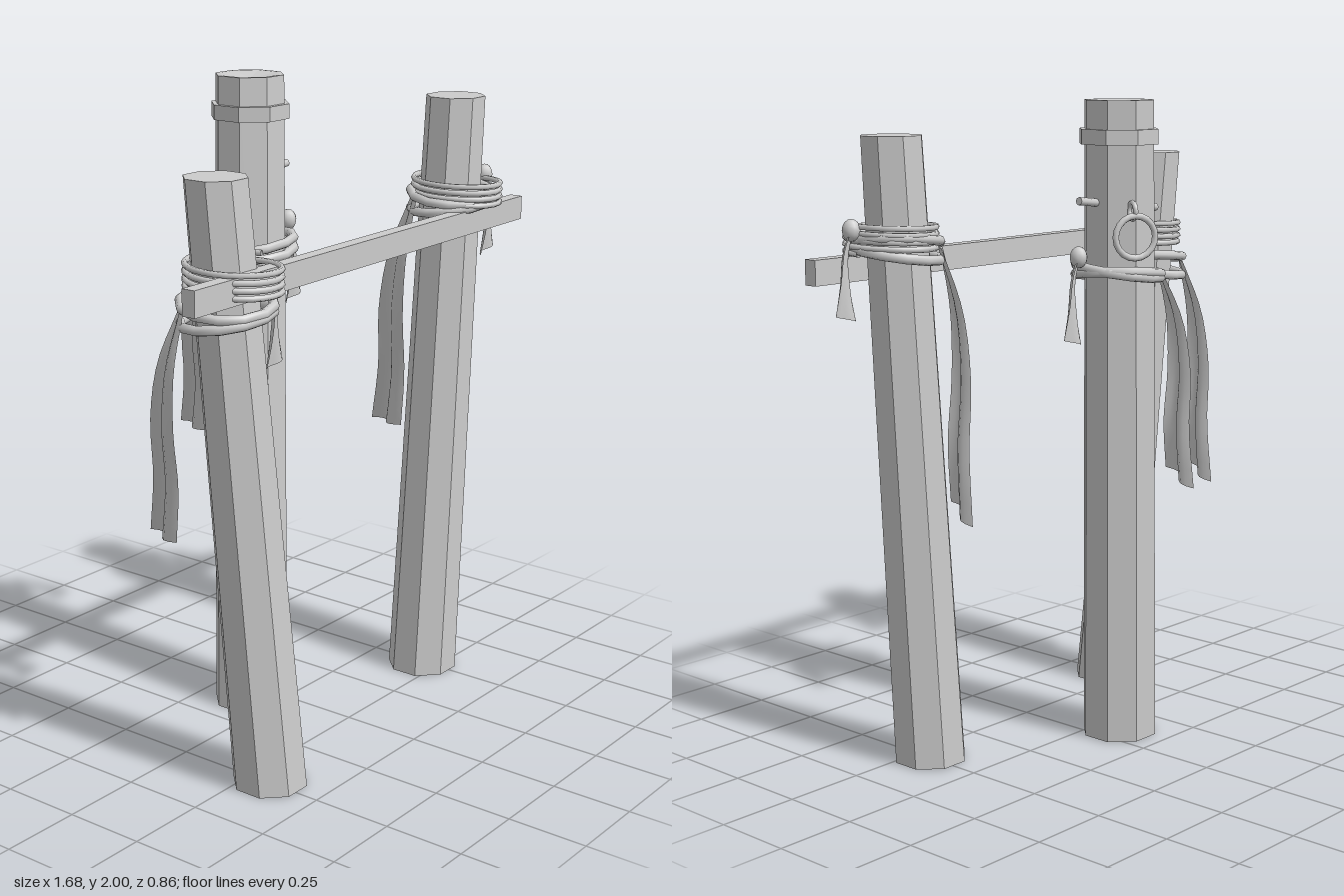
import * as THREE from 'three';

const grey = new THREE.MeshStandardMaterial({ color: 0xcccccc, side: THREE.DoubleSide });
grey.name = 'light grey';

function add(parent, name, geometry, x = 0, y = 0, z = 0) {
  const mesh = new THREE.Mesh(geometry, grey);
  mesh.name = name;
  mesh.position.set(x, y, z);
  parent.add(mesh);
  return mesh;
}

// Octagonal turned shape with hard edges
function faceted(profile) {
  const geo = new THREE.LatheGeometry(profile.map(p => new THREE.Vector2(...p)), 8, Math.PI / 8).toNonIndexed();
  geo.computeVertexNormals();
  return geo;
}

// Leaning post: octagon sheared from the foot to the top, both ends level
function postGeometry({ foot, top, height, r0, r1, dish }) {
  const geo = faceted([[0, 0], [r0, 0], [r1, height], [r1 - 0.014, height], [0, height - dish]]);
  const p = geo.attributes.position;
  for (let i = 0; i < p.count; i++) {
    const t = p.getY(i) / height;
    p.setX(i, p.getX(i) + foot[0] + (top[0] - foot[0]) * t);
    p.setZ(i, p.getZ(i) + foot[1] + (top[1] - foot[1]) * t);
  }
  geo.computeVertexNormals();
  return geo;
}

// Cloth strip between two edge curves, rippled across its width
function ribbon(edgeA, edgeB, fold) {
  const curve = pts => new THREE.CatmullRomCurve3(pts.map(p => new THREE.Vector3(...p)));
  const a = curve(edgeA), b = curve(edgeB);
  const rows = 14, cols = 8, pos = [], index = [];
  for (let i = 0; i <= rows; i++) {
    const u = i / rows, pa = a.getPoint(u), pb = b.getPoint(u);
    const side = new THREE.Vector3(pb.z - pa.z, 0, pa.x - pb.x).normalize();
    for (let j = 0; j <= cols; j++) {
      const v = j / cols;
      const p = pa.clone().lerp(pb, v).addScaledVector(side, fold * Math.sin(v * Math.PI * 2) * (0.4 + 0.6 * u));
      pos.push(p.x, p.y, p.z);
      if (i < rows && j < cols) {
        const k = i * (cols + 1) + j;
        index.push(k, k + cols + 1, k + 1, k + 1, k + cols + 1, k + cols + 2);
      }
    }
  }
  const geo = new THREE.BufferGeometry();
  geo.setAttribute('position', new THREE.Float32BufferAttribute(pos, 3));
  geo.setIndex(index);
  geo.computeVertexNormals();
  return geo;
}

// Thin rope wound around post and beam
function coil(rx, rz, height, turns) {
  const pts = [];
  for (let i = 0; i <= turns * 12; i++) {
    const t = i / 12 * Math.PI * 2;
    pts.push(new THREE.Vector3(Math.cos(t) * rx, (i / (turns * 12) - 0.5) * height, Math.sin(t) * rz));
  }
  return new THREE.TubeGeometry(new THREE.CatmullRomCurve3(pts), turns * 24, 0.009, 6);
}

// Thick cloth loops, knot, short tail and long tail; drop is the long tail's length
function clothTie(post, name) {
  const tie = new THREE.Group();
  tie.name = name;
  const { height, foot, top, loops, knotY, drop } = post;
  const t = knotY / height;
  tie.position.set(foot[0] + (top[0] - foot[0]) * t, knotY, foot[1] + (top[1] - foot[1]) * t);

  loops.forEach((y, i) => {
    const loop = add(tie, 'clothLoop', new THREE.TorusGeometry(0.132, 0.015, 8, 12).rotateX(Math.PI / 2), 0, y - knotY, 0.005);
    loop.rotation.set(i % 2 ? -0.1 : 0.1, 0, 0.11);
  });

  add(tie, 'knot', new THREE.SphereGeometry(0.027, 10, 8).scale(1, 1.2, 1), 0.15, 0, 0.03);
  add(tie, 'shortTail', ribbon(
    [[0.14, 0, 0.04], [0.155, -0.09, 0.05], [0.15, -0.18, 0.045], [0.135, -0.265, 0.035]],
    [[0.16, 0, 0.02], [0.19, -0.06, 0.015], [0.205, -0.15, 0.015], [0.225, -0.24, 0.02]], 0.012));

  const d = drop / 0.85;
  const scaled = pts => pts.map(([x, y, z]) => [x, y * d, z]);
  add(tie, 'longTail', ribbon(
    scaled([[-0.12, -0.06, -0.05], [-0.14, -0.24, -0.07], [-0.125, -0.44, -0.09], [-0.095, -0.64, -0.10], [-0.095, -0.82, -0.11]]),
    scaled([[-0.08, -0.06, -0.10], [-0.095, -0.24, -0.17], [-0.075, -0.44, -0.22], [-0.045, -0.64, -0.24], [0.0, -0.85, -0.295]]), 0.02));
  return tie;
}

export function createModel() {
  const model = new THREE.Group();
  model.name = 'lashedPosts';

  const posts = {
    right: { foot: [-0.49, 0.32], top: [-0.583, 0.21], height: 1.81, r0: 0.113, r1: 0.093, dish: 0, loops: [1.46, 1.42], knotY: 1.5, drop: 0.77 },
    back: { foot: [-0.077, -0.085], top: [0.016, -0.155], height: 2, r0: 0.12, r1: 0.108, dish: 0.015, loops: [1.48, 1.49], knotY: 1.54, drop: 0.68 },
    left: { foot: [0.493, 0.194], top: [0.596, 0.208], height: 1.905, r0: 0.113, r1: 0.094, dish: 0, loops: [1.6, 1.565], knotY: 1.64, drop: 0.845 },
  };
  for (const [side, post] of Object.entries(posts)) {
    add(model, side + 'Post', postGeometry(post));
    model.add(clothTie(post, side + 'ClothTie'));
  }

  // Cross beam and its lashings
  const beam = add(model, 'crossBeam', new THREE.BoxGeometry(1.68, 0.075, 0.043), 0, 1.523, 0.311);
  beam.rotation.y = 0.022;
  add(model, 'rightLashing', coil(0.125, 0.14, 0.085, 4), -0.573, 1.54, 0.262);
  add(model, 'leftLashing', coil(0.125, 0.142, 0.08, 4), 0.592, 1.61, 0.222);

  // Collar near the top of the back post
  add(model, 'collar', faceted([[0.1, 0], [0.123, 0], [0.123, 0.045], [0.1, 0.045], [0.1, 0]]), 0.011, 1.87, -0.15);

  // Peg through the back post
  const peg = add(model, 'peg', new THREE.CylinderGeometry(0.012, 0.012, 0.355, 8).rotateZ(Math.PI / 2), 0.004, 1.69, -0.142);
  peg.rotation.z = 0.11;

  // Hanging ring and its staple
  const ring = add(model, 'hangingRing', new THREE.TorusGeometry(0.062, 0.01, 8, 20), 0.075, 1.605, -0.27);
  ring.rotation.set(0, -0.5, 0);
  const staple = add(model, 'ringStaple', new THREE.TorusGeometry(0.025, 0.008, 6, 12), 0.065, 1.68, -0.25);
  staple.rotation.y = Math.PI / 2 - 0.5;

  return model;
}
